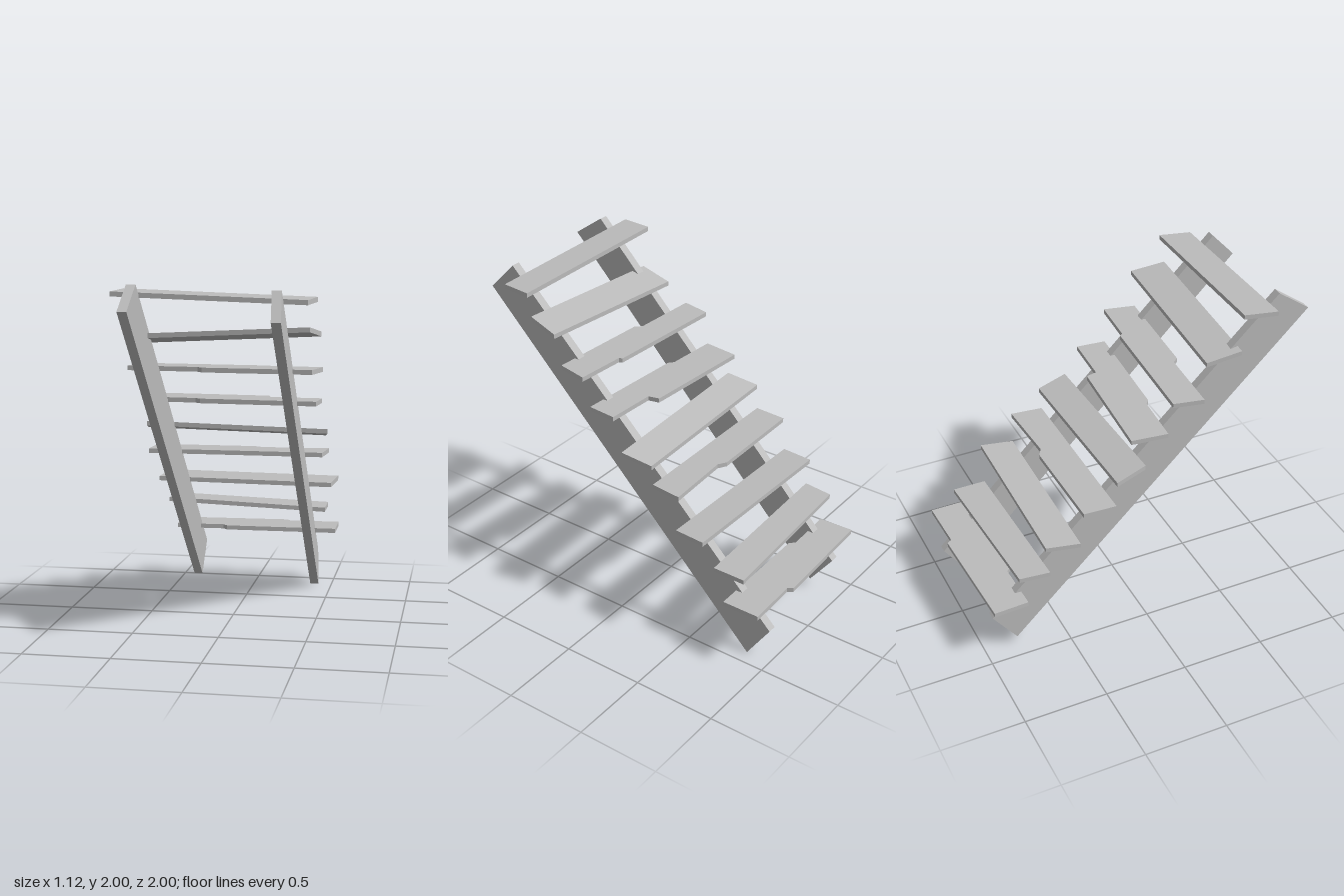
import * as THREE from 'three';

const wood = new THREE.MeshStandardMaterial({ color: 0xbcbcbc });
wood.name = 'grey wood';

function extrude(points, depth) {
  const shape = new THREE.Shape(points.map(([a, b]) => new THREE.Vector2(a, b)));
  return new THREE.ExtrudeGeometry(shape, { depth, bevelEnabled: false });
}

// Moves every vertex by a rule, then recomputes flat normals.
function skew(geometry, rule) {
  const pos = geometry.attributes.position;
  const p = new THREE.Vector3();
  for (let i = 0; i < pos.count; i++) {
    rule(p.fromBufferAttribute(pos, i));
    pos.setXYZ(i, p.x, p.y, p.z);
  }
  geometry.computeVertexNormals();
  return geometry;
}

// Horizontal plank from an (x, z) outline, rolled along x and pitched along z.
function plank({ y, roll = 0, pitch = 0, outline }) {
  const thick = 0.027;
  const zs = outline.map((c) => c[1]);
  const zMid = (Math.min(...zs) + Math.max(...zs)) / 2;
  const geometry = extrude(outline.map(([x, z]) => [x, -z]), thick);
  geometry.rotateX(-Math.PI / 2);
  return skew(geometry, (p) => {
    p.y += y - thick / 2 + roll * p.x + pitch * (p.z - zMid);
  });
}

// Sloping side beam from a (z, y) profile; lean shifts x along z, twist across the beam.
function beam({ x, lean = 0, twist = 0, profile }) {
  const width = 0.053;
  const geometry = extrude(profile, width);
  geometry.rotateY(-Math.PI / 2);
  return skew(geometry, (p) => {
    p.x += x + width / 2 + lean * p.z + twist * (p.y - p.z - 1);
  });
}

// Treads from bottom to top, with broken edges on some boards.
const TREADS = [
  { y: 0.375, outline: [[-0.51, -0.97], [0.19, -1], [0.21, -0.97], [0.53, -0.98], [0.53, -0.75], [-0.17, -0.74], [-0.2, -0.77], [-0.5, -0.76]] },
  { y: 0.55, roll: -0.04, outline: [[-0.505, -0.81], [0.475, -0.845], [0.475, -0.645], [-0.525, -0.63]] },
  { y: 0.74, roll: -0.005, pitch: -0.06, outline: [[-0.52, -0.65], [0.56, -0.625], [0.535, -0.425], [-0.55, -0.45]] },
  { y: 0.945, outline: [[-0.555, -0.43], [0.06, -0.44], [0.11, -0.41], [0.52, -0.43], [0.5, -0.24], [-0.565, -0.235]] },
  { y: 1.11, roll: -0.022, pitch: 0.2, outline: [[-0.565, -0.23], [0.52, -0.245], [0.55, -0.06], [-0.53, -0.04]] },
  { y: 1.305, outline: [[-0.49, -0.11], [0.205, -0.065], [0.22, 0], [0.525, 0.015], [0.51, 0.19], [-0.17, 0.15], [-0.2, 0.125], [-0.515, 0.105]] },
  { y: 1.505, outline: [[-0.525, 0.125], [0.24, 0.165], [0.25, 0.185], [0.55, 0.205], [0.51, 0.39], [-0.12, 0.355], [-0.15, 0.32], [-0.56, 0.3]] },
  { y: 1.71, roll: 0.045, pitch: 0.19, outline: [[-0.46, 0.36], [0.56, 0.39], [0.52, 0.59], [-0.485, 0.565]] },
  { y: 1.932, roll: -0.033, pitch: -0.05, outline: [[-0.515, 0.55], [0.56, 0.575], [0.53, 0.765], [-0.545, 0.745]] },
];

const BEAMS = {
  rightBeam: { x: -0.391, lean: -0.025, profile: [[1, 1.865], [0.81, 2], [-0.945, 0.245], [-0.8, 0.05]] },
  leftBeam: { x: 0.381, twist: -0.055, profile: [[0.97, 1.815], [0.82, 1.975], [-0.98, 0.2], [-0.845, 0]] },
};

export function createModel() {
  const group = new THREE.Group();
  group.name = 'openStaircase';
  const add = (name, geometry) => {
    const mesh = new THREE.Mesh(geometry, wood);
    mesh.name = name;
    group.add(mesh);
  };
  for (const [name, spec] of Object.entries(BEAMS)) add(name, beam(spec));
  TREADS.forEach((spec, i) => add(`tread${i + 1}`, plank(spec)));
  return group;
}
